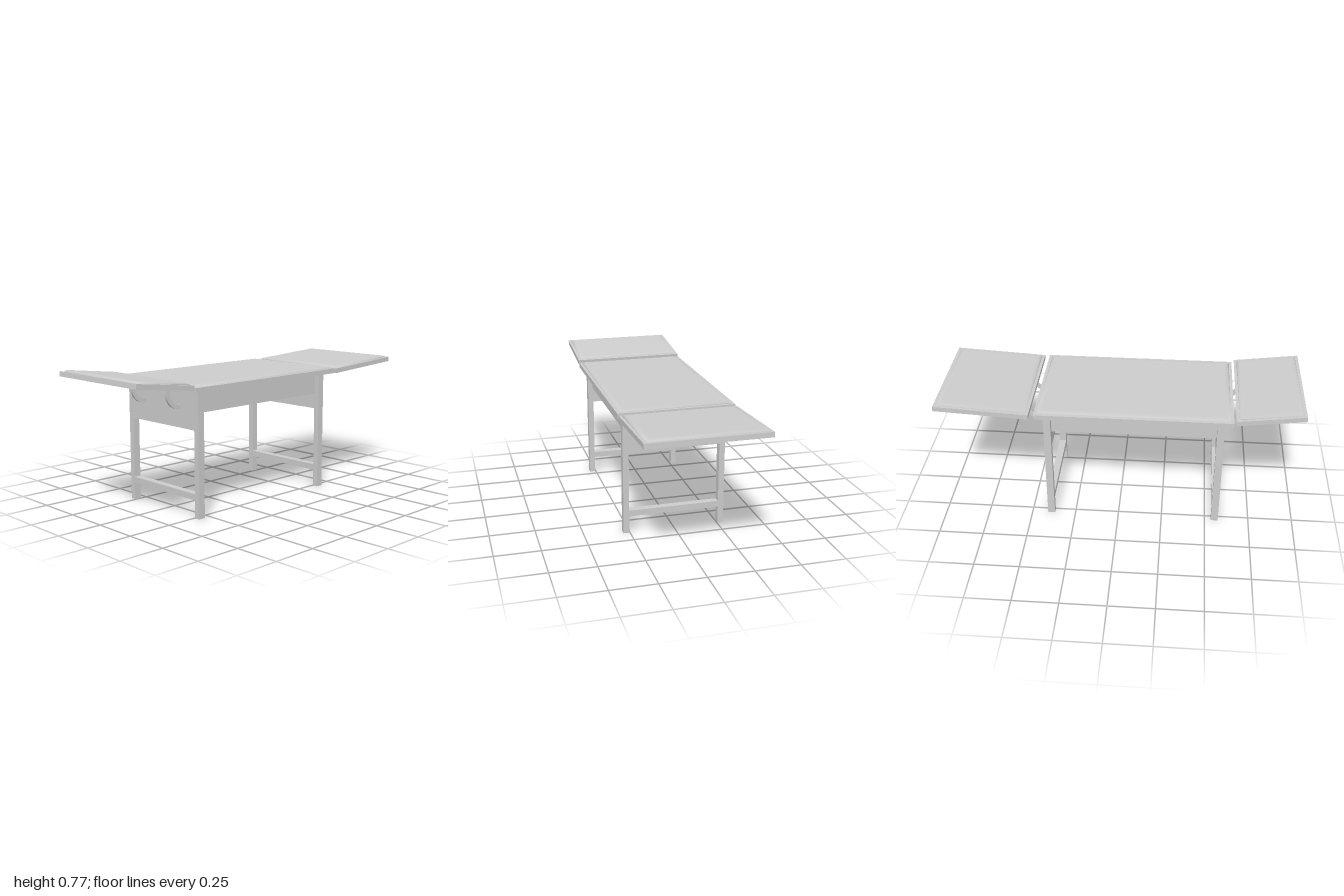
import * as THREE from 'three';
import { mergeVertices } from 'three/addons/utils/BufferGeometryUtils.js';

const material = new THREE.MeshStandardMaterial({ color: 0xcccccc });
const DEPTH = 0.644; // full width of the table tops along z

function add(parent, geometry, name, x = 0, y = 0, z = 0) {
  const mesh = new THREE.Mesh(geometry, material);
  mesh.name = name;
  mesh.position.set(x, y, z);
  parent.add(mesh);
  return mesh;
}

function rectangle(path, x0, y0, x1, y1) {
  path.moveTo(x0, y0).lineTo(x1, y0).lineTo(x1, y1).lineTo(x0, y1).closePath();
  return path;
}

// Low pillow with a softly rounded border and smooth normals
function pillow(width, depth) {
  const slope = 0.028, rise = 0.011;
  const w = width / 2 - slope, d = depth / 2 - slope;
  const extruded = new THREE.ExtrudeGeometry(rectangle(new THREE.Shape(), -w, -d, w, d), {
    depth: 0.002, bevelEnabled: true, bevelSize: slope, bevelThickness: rise, bevelSegments: 4,
  });
  extruded.deleteAttribute('normal');
  extruded.deleteAttribute('uv');
  const smooth = mergeVertices(extruded);
  smooth.computeVertexNormals();
  return smooth.rotateX(-Math.PI / 2);
}

// Padded board whose underside runs from (x0, y0) to (x1, y1)
function paddedTop(name, x0, y0, x1, y1) {
  const group = new THREE.Group();
  group.name = name;
  const length = Math.hypot(x1 - x0, y1 - y0);
  const thick = 0.027, inset = 0.016;
  add(group, new THREE.BoxGeometry(length, thick, DEPTH), 'board', 0, thick / 2, 0);
  // Lower half of the cushion is sunk in the board
  add(group, pillow(length - 2 * inset, DEPTH - 2 * inset), 'cushion', 0, thick - 0.002, 0);
  group.position.set((x0 + x1) / 2, (y0 + y1) / 2, 0);
  group.rotation.z = Math.atan2(y1 - y0, x1 - x0);
  return group;
}

// Two legs, a deep end panel and a low stretcher cut from one board
function endFrame(name, x) {
  const outer = 0.286, inner = 0.254, width = 0.04;
  const shape = new THREE.Shape();
  shape.moveTo(-outer, 0).lineTo(-inner, 0).lineTo(-inner, 0.097).lineTo(inner, 0.097)
    .lineTo(inner, 0).lineTo(outer, 0).lineTo(outer, 0.677).lineTo(-outer, 0.677).closePath();
  shape.holes.push(rectangle(new THREE.Path(), -inner, 0.131, inner, 0.47));
  const geometry = new THREE.ExtrudeGeometry(shape, { depth: width, bevelEnabled: false });
  geometry.translate(0, 0, -width / 2).rotateY(Math.PI / 2);
  const group = new THREE.Group();
  group.name = name;
  add(group, geometry, 'legsAndRails', x);
  return group;
}

// Curved support arm: short flat start at the end panel, then a quarter turn upwards
function bracket(start, cx, radius, top) {
  const thick = 0.024, width = 0.014, cy = 0.57 + radius;
  const s = new THREE.Shape();
  s.moveTo(start, 0.57).lineTo(cx, 0.57);
  s.absarc(cx, cy, radius, -Math.PI / 2, 0, false);
  s.lineTo(cx + radius, top).lineTo(cx + radius - thick, top).lineTo(cx + radius - thick, cy);
  s.absarc(cx, cy, radius - thick, 0, -Math.PI / 2, true);
  s.lineTo(start, 0.594).closePath();
  const geometry = new THREE.ExtrudeGeometry(s, { depth: width, bevelEnabled: false, curveSegments: 12 });
  return geometry.translate(0, 0, -width / 2);
}

export function createModel() {
  const model = new THREE.Group();
  model.name = 'extendingTable';

  // Table tops: fixed centre and two tilted end leaves
  model.add(paddedTop('centreTop', -0.62, 0.676, 0.454, 0.676));
  model.add(paddedTop('rightLeaf', -1, 0.736, -0.635, 0.69));
  model.add(paddedTop('leftLeaf', 0.483, 0.674, 1, 0.702));

  // Base: end frames joined by a closed box under the top
  model.add(endFrame('rightEndFrame', -0.556));
  model.add(endFrame('leftEndFrame', 0.389));
  add(model, new THREE.BoxGeometry(0.907, 0.119, 0.514), 'underframeBox', -0.0835, 0.6175, 0);

  // Leaf support arms
  for (const z of [-0.146, 0.141]) {
    const rightArm = bracket(0.57, 0.582, 0.088, 0.694).rotateY(Math.PI);
    add(model, rightArm, 'rightLeafArm', 0, 0, z);
    add(model, bracket(0.4, 0.445, 0.1, 0.68), 'leftLeafArm', 0, 0, z);
  }
  return model;
}
